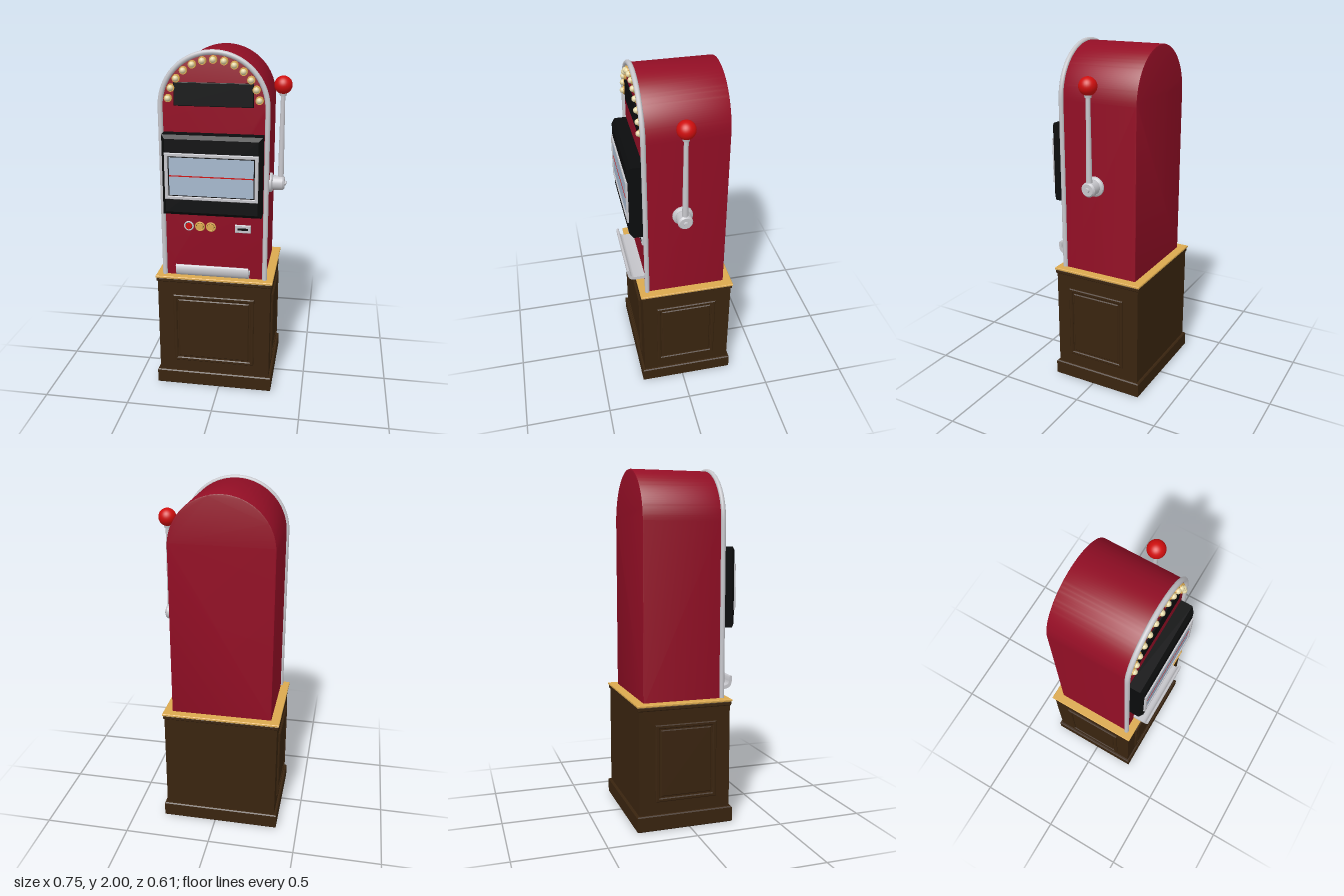
import * as THREE from 'three';
import { toCreasedNormals } from 'three/addons/utils/BufferGeometryUtils.js';

const CX = -0.03;      // cabinet centre line
const FACE = 0.203;    // front face of the cabinet
const ARCH_Y = 1.697;  // centre of the arch
const ARCH_R = 0.291;

const paint = (name, color) => {
  const m = new THREE.MeshStandardMaterial({ color });
  m.name = name;
  return m;
};

function rectPath(w, h, Type = THREE.Shape) {
  const p = new Type();
  p.moveTo(-w / 2, -h / 2);
  p.lineTo(w / 2, -h / 2);
  p.lineTo(w / 2, h / 2);
  p.lineTo(-w / 2, h / 2);
  p.closePath();
  return p;
}

// Slab with chamfered edges, outer size w x h, from z = 0 to z = d
function slab(w, h, d, bevel, hole) {
  const s = rectPath(w - 2 * bevel, h - 2 * bevel);
  if (hole) s.holes.push(rectPath(hole[0] + 2 * bevel, hole[1] + 2 * bevel, THREE.Path));
  const g = new THREE.ExtrudeGeometry(s, {
    depth: d - 2 * bevel, bevelEnabled: bevel > 0, bevelSize: bevel, bevelThickness: bevel, bevelSegments: 1,
  });
  return g.translate(0, 0, bevel);
}

export function createModel() {
  const model = new THREE.Group();
  model.name = 'slotMachine';
  const red = paint('cabinet red', 0x930e25);
  const brown = paint('dark wood', 0x39240f);
  const gold = paint('gold', 0xdba94f);
  const black = paint('black', 0x0b0c0d);
  const chrome = paint('chrome', 0xc6c6cb);
  const bright = paint('bright red', 0xcf0e0e);
  const glass = paint('glass blue', 0xa6b8ce);
  const cream = paint('bulb cream', 0xe6d9a8);

  const add = (name, geo, mat, x = 0, y = 0, z = 0, parent = model) => {
    const m = new THREE.Mesh(geo, mat);
    m.name = name;
    m.position.set(x, y, z);
    parent.add(m);
    return m;
  };
  // Horizontal chamfered slab between two heights
  const tier = (name, mat, w, d, y0, y1, bevel) =>
    add(name, slab(w, d, y1 - y0, bevel).rotateX(-Math.PI / 2), mat, CX, y0, -0.025);

  // Pedestal
  tier('plinth', brown, 0.69, 0.56, 0, 0.09, 0.006);
  tier('pedestalBody', brown, 0.66, 0.53, 0.08, 0.69, 0);
  tier('pedestalCornice', brown, 0.672, 0.542, 0.677, 0.702, 0.005);
  tier('pedestalTop', gold, 0.682, 0.552, 0.7, 0.714, 0.003);

  // Moulded panels on the front and both sides
  const panel = (name, w, x, z, turn) => {
    const g = new THREE.Group();
    g.name = name;
    g.position.set(x, 0.38, z);
    g.rotation.y = turn;
    add('panelMoulding', slab(w, 0.436, 0.018, 0.005, [w - 0.044, 0.392]), brown, 0, 0, -0.007, g);
    add('panelField', slab(w - 0.06, 0.376, 0.014, 0.005), brown, 0, 0, -0.007, g);
    model.add(g);
  };
  panel('frontPanel', 0.478, CX, 0.24, 0);
  panel('leftPanel', 0.356, 0.3, -0.02, Math.PI / 2);
  panel('rightPanel', 0.356, -0.36, -0.02, -Math.PI / 2);

  // Arched cabinet
  const b = 0.006;
  const r = ARCH_R - b;
  const arch = new THREE.Shape();
  arch.moveTo(-r, 0.708 + b);
  arch.lineTo(r, 0.708 + b);
  arch.lineTo(r, ARCH_Y);
  arch.absarc(0, ARCH_Y, r, 0, Math.PI, false);
  arch.closePath();
  const body = new THREE.ExtrudeGeometry(arch, {
    depth: FACE + 0.252 - 2 * b, bevelSize: b, bevelThickness: b, bevelSegments: 2, curveSegments: 40,
  });
  add('cabinet', toCreasedNormals(body, 0.5), red, CX, 0, -0.252 + b);

  // Chrome tube around the front edge
  const path = [];
  for (let i = 0; i < 8; i++) path.push(new THREE.Vector3(ARCH_R, 0.715 + (i * (ARCH_Y - 0.715)) / 8, 0));
  for (let i = 0; i <= 32; i++) {
    const a = (i / 32) * Math.PI;
    path.push(new THREE.Vector3(ARCH_R * Math.cos(a), ARCH_Y + ARCH_R * Math.sin(a), 0));
  }
  for (let i = 7; i >= 0; i--) path.push(new THREE.Vector3(-ARCH_R, path[i].y, 0));
  add('edgeTrim', new THREE.TubeGeometry(new THREE.CatmullRomCurve3(path), 120, 0.014, 12), chrome, CX, 0, 0.206);

  // Marquee bulbs
  const socket = new THREE.CylinderGeometry(0.021, 0.022, 0.014, 18).rotateX(Math.PI / 2);
  const bulb = new THREE.SphereGeometry(0.016, 16, 12);
  for (let i = 0; i < 13; i++) {
    const a = THREE.MathUtils.degToRad(10 + (i * 160) / 12);
    const x = CX + 0.25 * Math.cos(a);
    const y = 1.7 + 0.25 * Math.sin(a);
    add('bulbSocket', socket, gold, x, y, FACE + 0.007);
    add('bulb', bulb, cream, x, y, FACE + 0.016);
  }

  // Marquee sign
  add('signPlate', slab(0.43, 0.126, 0.014, 0.003), black, CX, 1.767, FACE - 0.004);

  // Reel housing, window frame and glass
  add('reelHousing', slab(0.548, 0.45, 0.11, 0.02), black, CX, 1.335, 0.18);
  add('windowFrame', slab(0.512, 0.26, 0.014, 0.003, [0.474, 0.222]), chrome, CX, 1.335, 0.285);
  add('windowGasket', new THREE.BoxGeometry(0.48, 0.228, 0.006), black, CX, 1.335, 0.29);
  add('windowGlass', new THREE.BoxGeometry(0.462, 0.212, 0.004), glass, CX, 1.335, 0.2925);
  add('payLine', new THREE.BoxGeometry(0.462, 0.006, 0.002), bright, CX, 1.338, 0.295);

  // Buttons
  const ring = new THREE.TorusGeometry(0.024, 0.005, 8, 24);
  const cap = new THREE.CylinderGeometry(0.017, 0.02, 0.016, 24).rotateX(Math.PI / 2);
  const seat = new THREE.CylinderGeometry(0.024, 0.024, 0.008, 24).rotateX(Math.PI / 2);
  [-0.175, -0.111, -0.048].forEach((x, i) => {
    add('buttonRing', ring, i ? gold : chrome, x, 1.02, FACE + 0.004);
    add('buttonSeat', seat, black, x, 1.02, FACE + 0.002);
    add('buttonCap', cap, i ? gold : bright, x, 1.02, FACE + 0.008);
  });

  // Coin slot
  add('coinPlate', slab(0.09, 0.046, 0.014, 0.003), chrome, 0.134, 1.019, FACE - 0.002);
  add('coinSlot', new THREE.BoxGeometry(0.058, 0.013, 0.002), black, 0.134, 1.019, FACE + 0.0125);

  // Coin tray with an upturned lip
  const tray = new THREE.Shape();
  tray.moveTo(0.195, 0.745);
  tray.lineTo(0.265, 0.745);
  tray.quadraticCurveTo(0.3, 0.748, 0.305, 0.785);
  tray.lineTo(0.306, 0.815);
  tray.quadraticCurveTo(0.299, 0.826, 0.291, 0.815);
  tray.lineTo(0.289, 0.79);
  tray.quadraticCurveTo(0.285, 0.768, 0.262, 0.765);
  tray.lineTo(0.195, 0.765);
  tray.closePath();
  const trayGeo = new THREE.ExtrudeGeometry(tray, { depth: 0.412, bevelEnabled: false, curveSegments: 8 });
  add('coinTray', toCreasedNormals(trayGeo, 0.7), chrome, 0.178, 0, 0).rotation.y = -Math.PI / 2;

  // Pull lever on the left side
  const lever = new THREE.Group();
  lever.name = 'lever';
  lever.position.set(0.322, 1.237, 0);
  model.add(lever);
  const disc = (name, r0, r1, x0, x1) =>
    add(name, new THREE.CylinderGeometry(r1, r0, x1 - x0, 28).rotateZ(-Math.PI / 2), chrome, (x0 + x1) / 2 - 0.322, 0, 0, lever);
  disc('leverFlange', 0.058, 0.056, 0.255, 0.272);
  disc('leverFlangeBevel', 0.056, 0.044, 0.272, 0.28);
  disc('leverHub', 0.042, 0.042, 0.278, 0.334);
  disc('leverHubBevel', 0.042, 0.034, 0.334, 0.344);
  disc('leverAxleCap', 0.014, 0.012, 0.344, 0.354);
  add('leverRod', new THREE.CylinderGeometry(0.012, 0.017, 0.5, 20), chrome, 0, 0.26, 0, lever);
  add('leverCollar', new THREE.CylinderGeometry(0.021, 0.018, 0.016, 20), chrome, 0, 0.507, 0, lever);
  add('leverKnob', new THREE.SphereGeometry(0.05, 32, 20), bright, 0, 0.559, 0, lever);

  return model;
}
